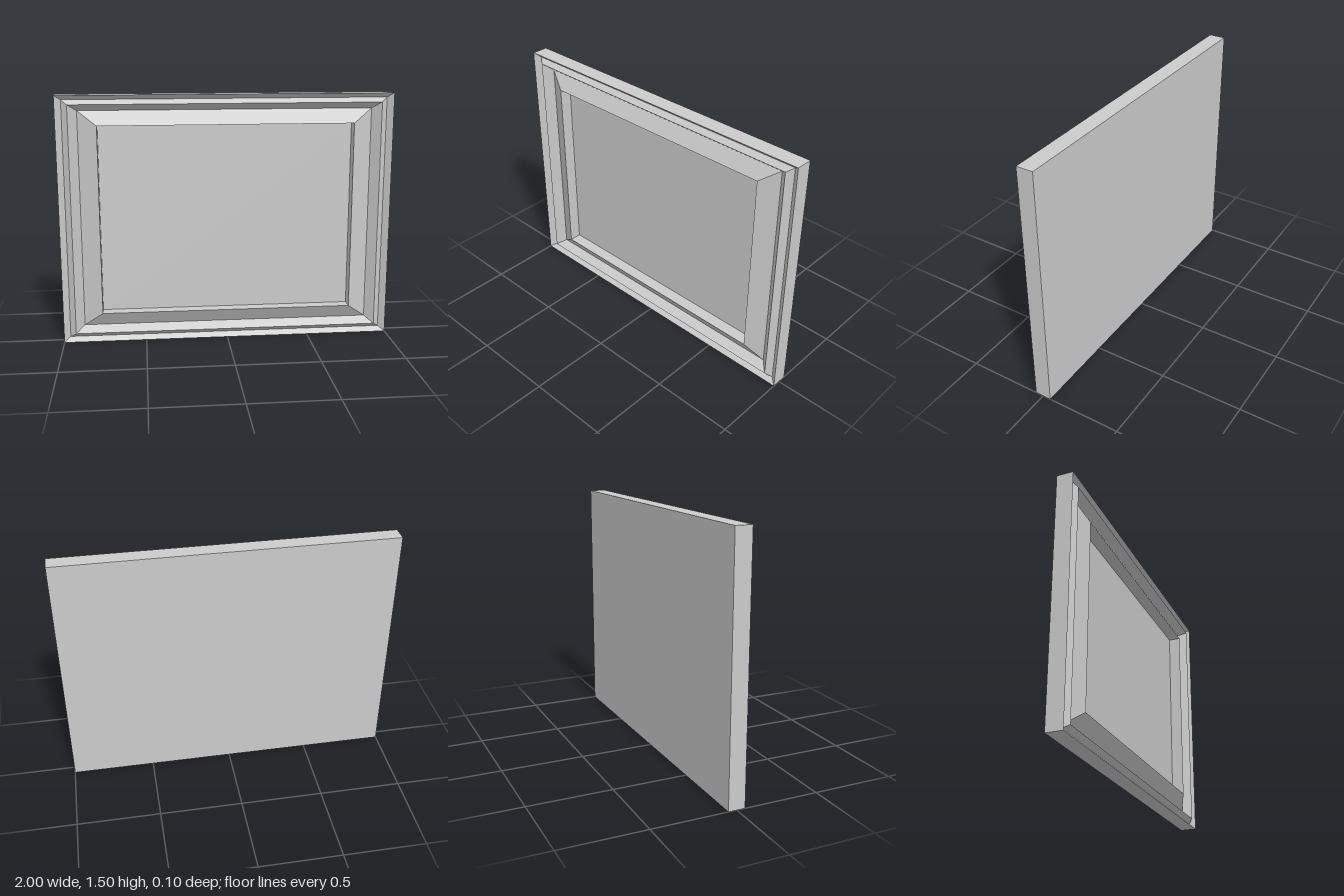
import * as THREE from 'three';

const HALF_W = 1, HALF_H = 0.75, INNER = 0.238, BACK = -0.05, PANEL = -0.025;

// Moulding cross-section as [inset from outer edge, z], back to front to back
const PROFILE = [
  [0, BACK], [0, 0.05], [0.0365, 0.02], [0.0725, 0.05],
  [0.124, 0], [INNER, 0.05], [INNER, BACK],
];
const CORNERS = [[-1, -1], [1, -1], [1, 1], [-1, 1]];

// Corner of the rectangle at one profile point
function cornerPoint([inset, z], i) {
  const [sx, sy] = CORNERS[i % 4];
  return [sx * HALF_W * (1 - inset), sy * HALF_H * (1 - inset), z];
}

// Sweep the closed profile round the rectangle with mitred corners
function mouldingGeometry() {
  const pos = [];
  PROFILE.forEach((p, k) => {
    const q = PROFILE[(k + 1) % PROFILE.length];
    for (let i = 0; i < 4; i++) {
      const a = cornerPoint(p, i), b = cornerPoint(p, i + 1);
      const c = cornerPoint(q, i + 1), d = cornerPoint(q, i);
      pos.push(...a, ...b, ...c, ...a, ...c, ...d);
    }
  });
  const geo = new THREE.BufferGeometry();
  geo.setAttribute('position', new THREE.Float32BufferAttribute(pos, 3));
  geo.computeVertexNormals();
  return geo;
}

export function createModel() {
  const group = new THREE.Group();
  group.name = 'pictureFrame';
  const material = new THREE.MeshStandardMaterial({ color: 0xcccccc, flatShading: true });

  // Stepped moulding
  const moulding = new THREE.Mesh(mouldingGeometry(), material);
  moulding.name = 'frameMoulding';
  moulding.position.y = HALF_H;

  // Recessed panel, flush with the back
  const s = 2 * (1 - INNER);
  const panel = new THREE.Mesh(
    new THREE.BoxGeometry(s * HALF_W, s * HALF_H, PANEL - BACK), material);
  panel.name = 'picturePanel';
  panel.position.set(0, HALF_H, (PANEL + BACK) / 2);

  group.add(moulding, panel);
  return group;
}
